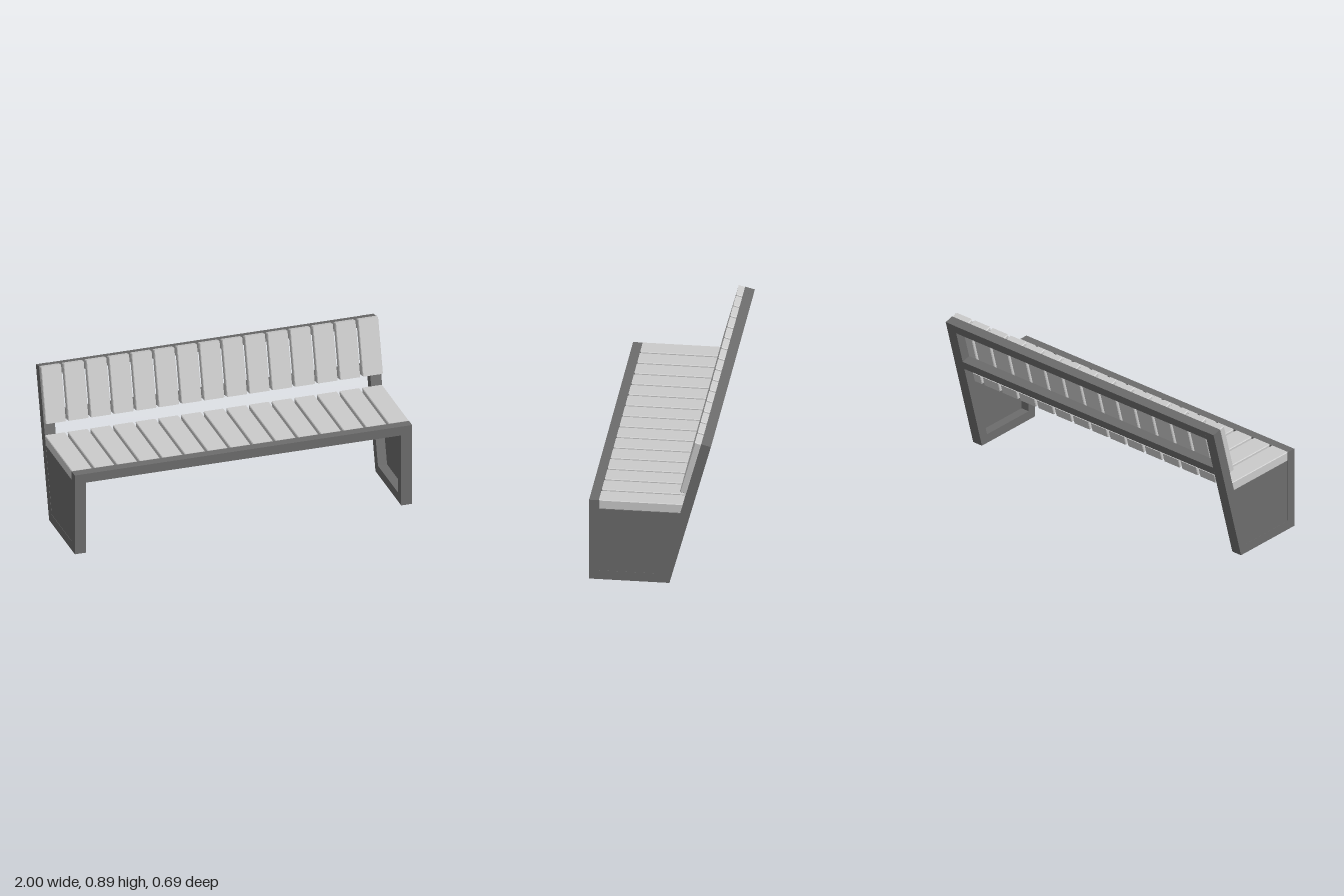
import * as THREE from 'three';

const slatMaterial = new THREE.MeshStandardMaterial({ color: 0xcccccc });
const frameMaterial = new THREE.MeshStandardMaterial({ color: 0x6c6c6c });

const LEG = 0.065;        // width of the end frames along x
const BAR = 0.055;        // thickness of the frame bars in profile
const SLATS = 15;
const SLAT_WIDTH = 0.12;

// Extrudes a [z, y] side profile along x, centred on x = cx
function profileMesh(name, points, width, cx, material, bevel = 0) {
  const shape = new THREE.Shape(points.map(([z, y]) => new THREE.Vector2(z, y)));
  const geometry = new THREE.ExtrudeGeometry(shape, {
    depth: width - 2 * bevel,
    bevelEnabled: bevel > 0,
    bevelSize: bevel,
    bevelThickness: bevel,
    bevelOffset: -bevel,
    bevelSegments: 1,
  });
  geometry.translate(0, 0, bevel - width / 2);
  geometry.rotateY(-Math.PI / 2);
  const mesh = new THREE.Mesh(geometry, material);
  mesh.name = name;
  mesh.position.x = cx;
  return mesh;
}

// Leaning backrest axes: s runs down from the top of the post, t forward from its front face
const ANGLE = Math.atan2(0.235, 0.868);
const SIN = Math.sin(ANGLE), COS = Math.cos(ANGLE);
const lean = (s, t) => [-0.29 + s * SIN + t * COS, 0.882 - s * COS + t * SIN];
const leanRect = (s0, s1, t0, t1) => [lean(s0, t0), lean(s1, t0), lean(s1, t1), lean(s0, t1)];
const postFront = (y) => -0.29 + (0.882 - y) * Math.tan(ANGLE);

export function createModel() {
  const bench = new THREE.Group();
  bench.name = 'bench';

  // End frames: front leg, foot bar and leaning back post in one outline
  const frameProfile = [
    [0.345, 0], [0.345, 0.495], [0.29, 0.495], [0.29, BAR],
    [postFront(BAR), BAR], [-0.29, 0.882], [-0.345, 0.868], [-0.11, 0],
  ];
  // Thin panel closing the outer face of each end frame
  const panelProfile = [
    [0.29, BAR], [0.29, 0.44], [postFront(0.44), 0.44], [postFront(BAR), BAR],
  ];
  for (const side of [-1, 1]) {
    const end = new THREE.Group();
    end.name = side > 0 ? 'leftEnd' : 'rightEnd';
    end.add(profileMesh('endFrame', frameProfile, LEG, side * (1 - LEG / 2), frameMaterial));
    end.add(profileMesh('endPanel', panelProfile, 0.01, side * 0.994, frameMaterial));
    bench.add(end);
  }

  // Rails spanning between the end frames
  const span = 2 - 2 * LEG;
  const rails = {
    frontRail: [[0.29, 0.44], [0.345, 0.44], [0.345, 0.495], [0.29, 0.495]],
    topRail: leanRect(0, BAR, -0.057, 0),
    lowerBackRail: leanRect(0.27, 0.322, -0.057, 0),
  };
  for (const [name, points] of Object.entries(rails)) {
    bench.add(profileMesh(name, points, span, 0, frameMaterial));
  }

  // Seat and backrest slats, with softly chamfered edges
  const seatProfile = [
    [0.29, 0.44], [0.29, 0.497], [postFront(0.497), 0.497], [postFront(0.44), 0.44],
  ];
  const backProfile = leanRect(0, 0.329, 0, 0.037);
  const seat = new THREE.Group();
  seat.name = 'seat';
  const backrest = new THREE.Group();
  backrest.name = 'backrest';
  for (let i = 0; i < SLATS; i++) {
    const x = (2 - SLAT_WIDTH) * (i / (SLATS - 1) - 0.5);
    seat.add(profileMesh('seatSlat', seatProfile, SLAT_WIDTH, x, slatMaterial, 0.004));
    backrest.add(profileMesh('backSlat', backProfile, SLAT_WIDTH, x, slatMaterial, 0.004));
  }
  bench.add(seat, backrest);
  return bench;
}
